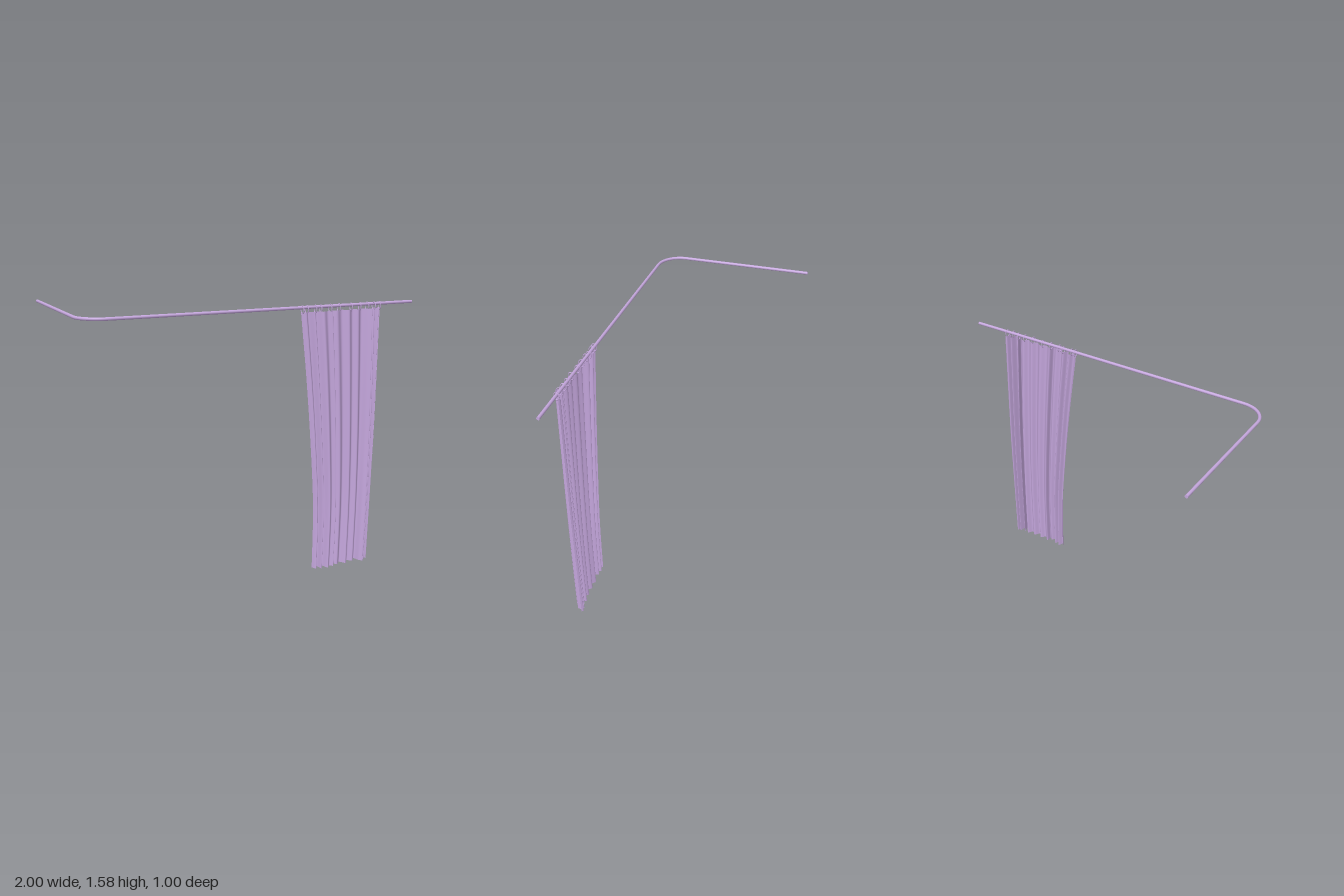
import * as THREE from 'three';

const V = (x, y, z) => new THREE.Vector3(x, y, z);
const material = new THREE.MeshStandardMaterial({ color: 0xc4a6dc, side: THREE.DoubleSide });
const ROD_Y = 1.57, ROD_Z = 0.445, ROD_R = 0.009;

function addMesh(parent, geometry, name) {
  const mesh = new THREE.Mesh(geometry, material);
  mesh.name = name;
  parent.add(mesh);
  return mesh;
}

// L-shaped rail with a rounded corner
function railCurve() {
  const left = -1 + ROD_R, bend = 0.145, path = new THREE.CurvePath();
  const a = V(left, ROD_Y, ROD_Z - bend), b = V(left + bend, ROD_Y, ROD_Z);
  path.add(new THREE.LineCurve3(V(left, ROD_Y, -0.5), a));
  const k = bend * 0.448;
  path.add(new THREE.CubicBezierCurve3(a, V(left, ROD_Y, a.z + bend - k), V(b.x - bend + k, ROD_Y, ROD_Z), b));
  path.add(new THREE.LineCurve3(b, V(1, ROD_Y, ROD_Z)));
  return path;
}

// Pleat outlines as [fraction across the width, z]
const topFolds = [
  [0, 0.447], [0.05, 0.462], [0.09, 0.44], [0.14, 0.475], [0.18, 0.446], [0.24, 0.48],
  [0.3, 0.468], [0.35, 0.482], [0.37, 0.446], [0.43, 0.462], [0.5, 0.444], [0.57, 0.468],
  [0.63, 0.446], [0.69, 0.464], [0.75, 0.442], [0.81, 0.472], [0.84, 0.486], [0.83, 0.446],
  [0.88, 0.476], [0.91, 0.432], [0.95, 0.462], [0.97, 0.43], [1, 0.436]];
const hemFolds = [
  [0, 0.455], [0.04, 0.482], [0.09, 0.452], [0.12, 0.492], [0.17, 0.456], [0.22, 0.499],
  [0.28, 0.474], [0.33, 0.49], [0.34, 0.45], [0.42, 0.476], [0.49, 0.452], [0.56, 0.484],
  [0.63, 0.452], [0.7, 0.474], [0.77, 0.444], [0.81, 0.482], [0.86, 0.494], [0.84, 0.448],
  [0.89, 0.484], [0.92, 0.436], [0.95, 0.474], [0.97, 0.433], [1, 0.442]];

// Side edges of the hanging cloth as [x, y]
const spline = pts => new THREE.SplineCurve(pts.map(p => new THREE.Vector2(...p)));
const leftEdge = spline([[0.255, 1.545], [0.3, 1.16], [0.337, 0.773], [0.364, 0.386], [0.365, 0]]);
const rightEdge = spline([[0.785, 1.545], [0.784, 1.16], [0.781, 0.773], [0.771, 0.386], [0.76, 0]]);

function curtainGeometry() {
  const nx = 176, ny = 32;
  const top = spline(topFolds), hem = spline(hemFolds);
  const geometry = new THREE.PlaneGeometry(1, 1, nx, ny);
  const pos = geometry.attributes.position;
  for (let j = 0; j <= ny; j++) {
    const v = j / ny, l = leftEdge.getPoint(v), r = rightEdge.getPoint(v);
    for (let i = 0; i <= nx; i++) {
      const p = top.getPoint(i / nx).lerp(hem.getPoint(i / nx), v);
      const x = l.x + (r.x - l.x) * p.x;
      pos.setXYZ(j * (nx + 1) + i, x, l.y, p.y);
    }
  }
  geometry.computeVertexNormals();
  return geometry;
}

export function createModel() {
  const group = new THREE.Group();
  group.name = 'curtainAndRail';

  const rail = new THREE.Group();
  rail.name = 'rail';
  group.add(rail);
  const curve = railCurve();
  addMesh(rail, new THREE.TubeGeometry(curve, 160, ROD_R, 16), 'rod');
  for (const [x, z, ry] of [[1, ROD_Z, Math.PI / 2], [-1 + ROD_R, -0.5, Math.PI]]) {
    const cap = addMesh(rail, new THREE.CircleGeometry(ROD_R, 16), 'rodEnd');
    cap.position.set(x, ROD_Y, z);
    cap.rotation.y = ry;
  }

  addMesh(group, curtainGeometry(), 'curtain');

  // Rings loop over the rod and catch the top of the cloth
  const rings = new THREE.Group();
  rings.name = 'rings';
  group.add(rings);
  const ringShape = new THREE.TorusGeometry(0.019, 0.0025, 8, 24);
  const ringX = [0.262, 0.288, 0.347, 0.379, 0.441, 0.5, 0.577, 0.638, 0.688, 0.731, 0.774];
  ringX.forEach((x, i) => {
    const ring = addMesh(rings, ringShape, 'ring' + (i + 1));
    ring.position.set(x, 1.559, ROD_Z + 0.006 + 0.003 * Math.sin(i * 2.3));
    ring.rotation.set(0, Math.PI / 2 + 0.16 * Math.sin(i * 1.7), 0);
    ring.scale.set(0.85, 1.15, 1);
  });

  return group;
}
